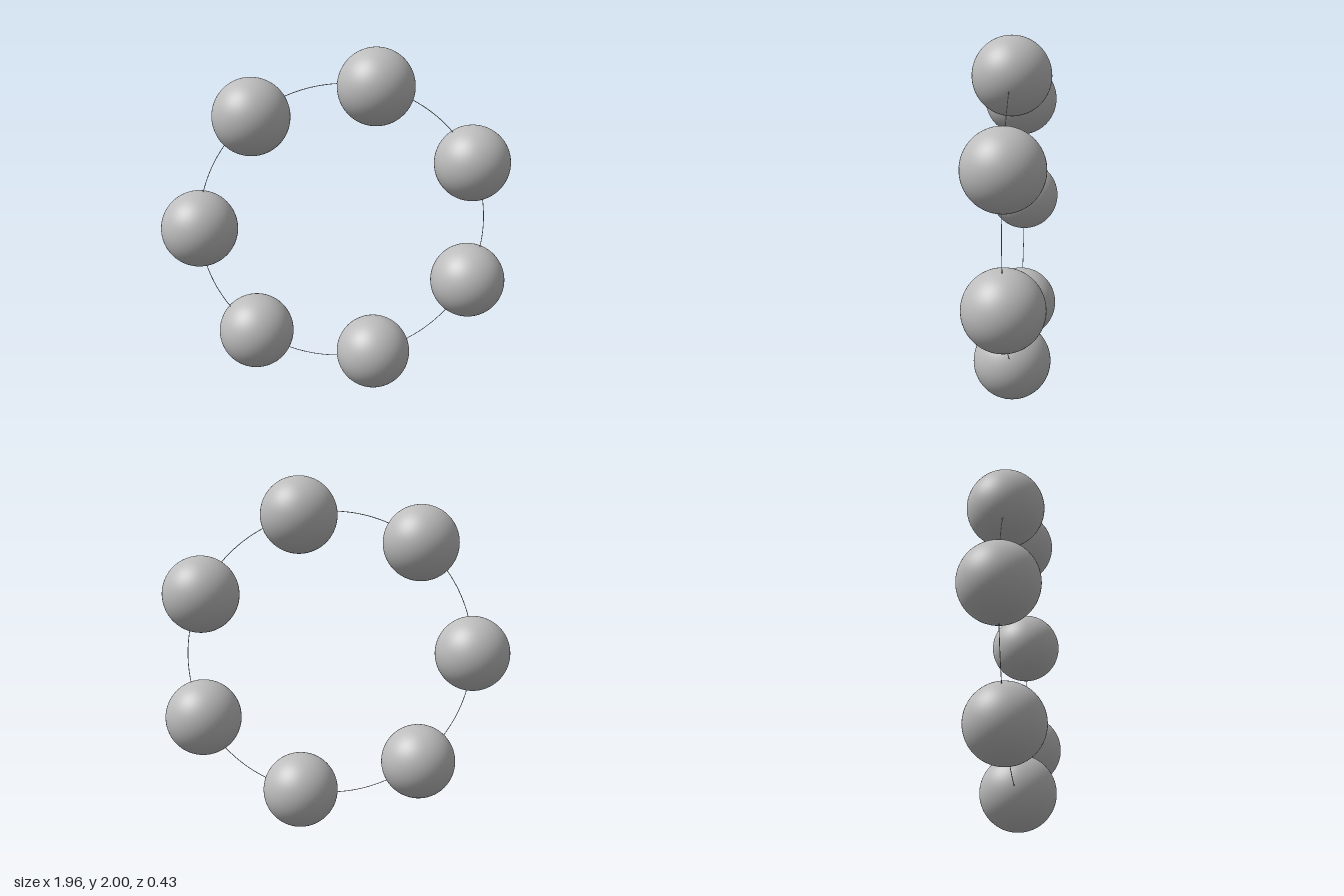
import * as THREE from 'three';

const COUNT = 7;
const RING_RADIUS = 0.806;
const BEAD_RADIUS = 0.214;
const CENTER = new THREE.Vector3(0.04, 1, 0);

export function createModel() {
  const model = new THREE.Group();
  model.name = 'beadRing';

  const grey = new THREE.MeshStandardMaterial({ color: 0xbcbcbc });
  grey.name = 'plain grey';

  // Thin upright thread running through every bead centre
  const thread = new THREE.Mesh(new THREE.TorusGeometry(RING_RADIUS, 0.002, 8, 168), grey);
  thread.name = 'thread';
  thread.position.copy(CENTER);
  model.add(thread);

  // Evenly spaced beads, the first one at the far -x side
  const beadGeometry = new THREE.SphereGeometry(BEAD_RADIUS, 64, 40);
  for (let i = 0; i < COUNT; i++) {
    const angle = Math.PI + (i * 2 * Math.PI) / COUNT;
    const bead = new THREE.Mesh(beadGeometry, grey);
    bead.name = `bead${i + 1}`;
    bead.position.set(Math.cos(angle), Math.sin(angle), 0).multiplyScalar(RING_RADIUS).add(CENTER);
    model.add(bead);
  }

  return model;
}
